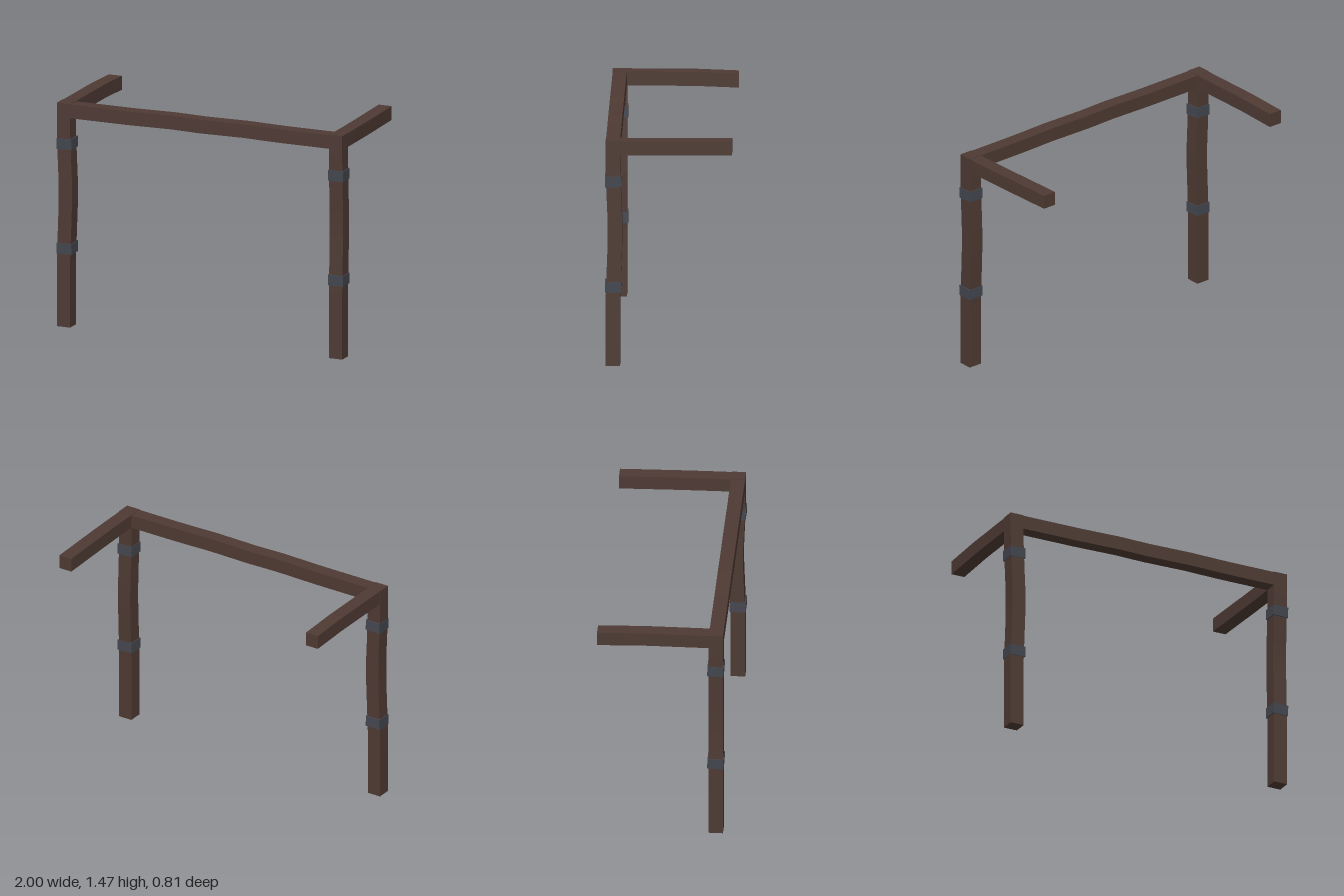
import * as THREE from 'three';

const wood = new THREE.MeshStandardMaterial({ color: 0x4e3a33 });
wood.name = 'dark brown wood';
const iron = new THREE.MeshStandardMaterial({ color: 0x44464f });
iron.name = 'dark grey iron';

// Piecewise-linear lookup in a list of [position, offset] pairs
function bend(points, t) {
  if (t <= points[0][0]) return points[0][1];
  for (let i = 1; i < points.length; i++) {
    const [a, va] = points[i - 1], [b, vb] = points[i];
    if (t <= b) return va + (vb - va) * (t - a) / (b - a);
  }
  return points[points.length - 1][1];
}

// Square timber between two corners, shifted sideways along its length
function timber(name, min, max, along, shift, points) {
  const size = max.map((v, i) => v - min[i]);
  const segments = [1, 1, 1];
  segments['xyz'.indexOf(along)] = 20;
  const box = new THREE.BoxGeometry(...size, ...segments);
  box.translate(...min.map((v, i) => (v + max[i]) / 2));
  const geometry = box.toNonIndexed();
  const p = geometry.attributes.position;
  const get = { x: 'getX', y: 'getY', z: 'getZ' }, set = { x: 'setX', y: 'setY', z: 'setZ' };
  for (let i = 0; i < p.count; i++) {
    p[set[shift]](i, p[get[shift]](i) + bend(points, p[get[along]](i)));
  }
  geometry.computeVertexNormals();
  const mesh = new THREE.Mesh(geometry, wood);
  mesh.name = name;
  return mesh;
}

export function createModel() {
  const model = new THREE.Group();
  model.name = 'timberFrame';

  // Posts, each slightly bowed between its bands
  const bow = (d) => [[0.45, 0], [0.66, d * 0.6], [0.8, d], [0.95, d], [1.1, d * 0.5], [1.28, 0]];
  model.add(timber('rightPost', [-0.998, 0, 0.308], [-0.905, 1.473, 0.4], 'y', 'x', bow(0.013)));
  model.add(timber('leftPost', [0.9, 0, 0.308], [0.993, 1.473, 0.4], 'y', 'z', bow(-0.013)));

  // Long lintel with a gentle wave
  model.add(timber('lintel', [-0.997, 1.38, 0.309], [0.992, 1.47, 0.399], 'x', 'y',
    [[-0.5, 0], [-0.2, 0.005], [0, 0.001], [0.3, 0.005], [0.55, 0]]));

  // Side arms: one droops, the other leans inward towards its free end
  model.add(timber('rightArm', [-0.996, 1.38, -0.404], [-0.905, 1.471, 0.398], 'z', 'y',
    [[-0.404, -0.01], [-0.12, 0], [0.4, 0]]));
  model.add(timber('leftArm', [0.9, 1.38, -0.404], [0.991, 1.471, 0.398], 'z', 'x',
    [[-0.404, -0.014], [0, -0.003], [0.2, 0], [0.4, 0]]));

  // Iron bands around the posts, slightly tilted
  for (const side of [-1, 1]) {
    for (const y of [0.516, 1.206]) {
      const band = new THREE.Mesh(new THREE.BoxGeometry(0.104, 0.07, 0.104), iron);
      band.name = side < 0 ? 'rightPostBand' : 'leftPostBand';
      band.position.set(side * 0.947, y, 0.352);
      band.rotation.set(0.02, 0, -side * 0.02);
      model.add(band);
    }
  }
  return model;
}
